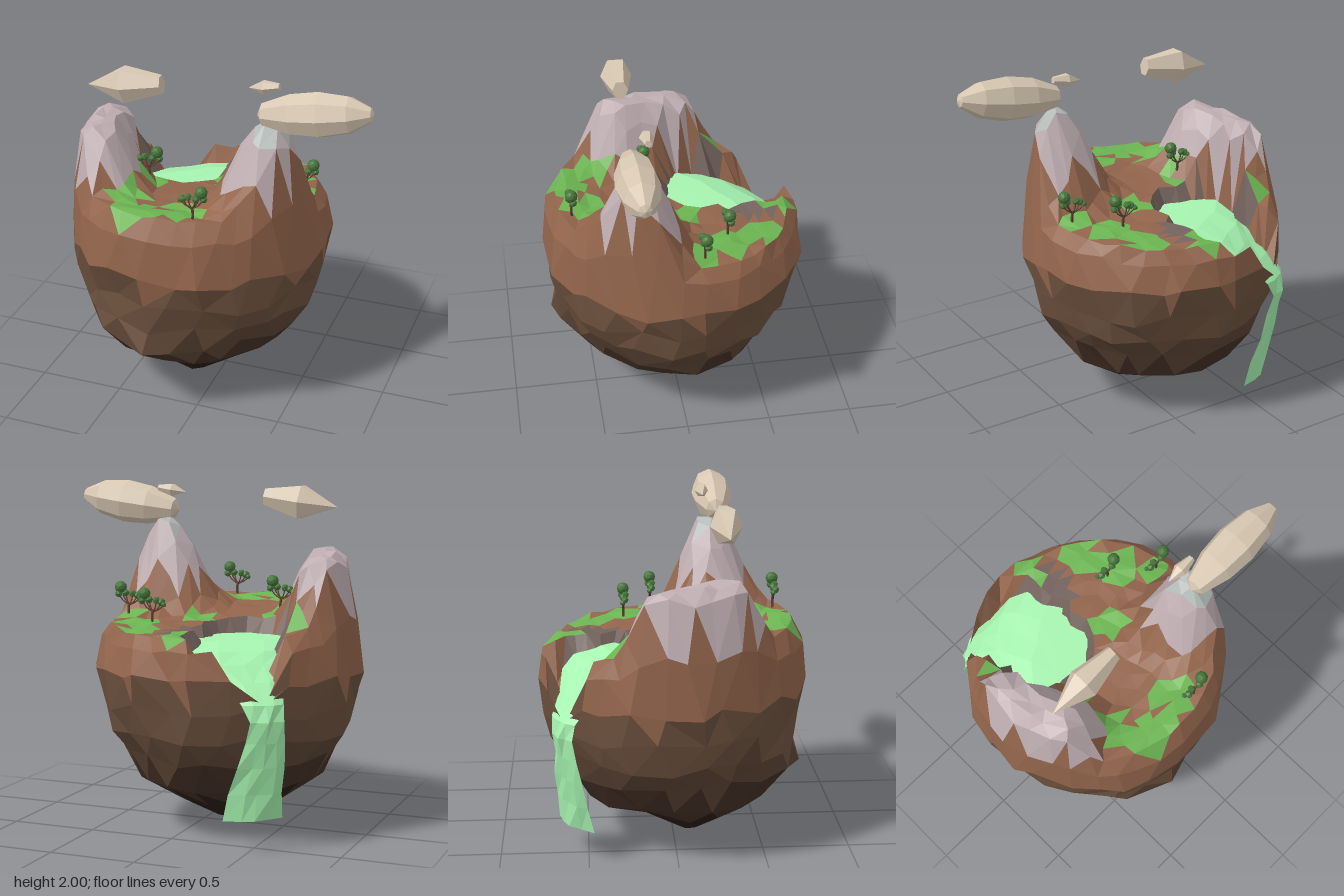
import * as THREE from 'three';

const CX = -0.16; // island axis in x
const hash = (a, b) => {
  const s = Math.sin(a * 127.1 + b * 311.7) * 43758.5453;
  return (s - Math.floor(s)) * 2 - 1;
};
const mat = (color, side = THREE.FrontSide) => new THREE.MeshStandardMaterial({ color, flatShading: true, side });

function mesh(parent, name, geometry, material) {
  const m = new THREE.Mesh(geometry, material);
  m.name = name;
  parent.add(m);
  return m;
}

function triangleMesh(parent, name, positions, material) {
  const g = new THREE.BufferGeometry();
  g.setAttribute('position', new THREE.Float32BufferAttribute(positions, 3));
  g.computeVertexNormals();
  return mesh(parent, name, g, material);
}

// Water level falls away towards the spillway
const waterLevel = (outward) => 1.13 - 1.2 * Math.max(0, outward - 0.3) ** 2;

// Terrain height: tilted plateau, a peak, a crescent ridge and a sunken pond with a spillway
function height(x, z) {
  const base = 1.215 + (z > 0 ? 0.13 : 0.06) * z;
  const dx = (x - 0.35) * (x > 0.35 ? 1.3 : 1);
  const dz = (z - 0.22) * (z < 0.22 ? 1.4 : 1);
  const peak = 0.54 * Math.exp(-Math.pow(Math.hypot(dx, dz) / 0.25, 2.5));
  const t = THREE.MathUtils.clamp((z + 0.08) / 0.33, 0, 1);
  const ridgeD = Math.hypot(x - (-0.75 + 0.09 * t), z - (-0.08 + 0.33 * t));
  const ridge = 0.37 * Math.exp(-Math.pow(ridgeD / 0.2, 3.5));
  const pond = ((x + 0.36) / 0.25) ** 4 + ((z + 0.34) / 0.36) ** 4 < 1;
  const across = -0.81 * (x - CX) + 0.58 * z, outward = -0.58 * (x - CX) - 0.81 * z;
  const spill = Math.abs(across + 0.02) < 0.14 && outward > 0.4;
  return pond || spill ? waterLevel(outward) - 0.06 : base + peak + ridge;
}

// Grass patches on the plateau: x, z, radius
const GRASS = [
  [-0.1, -0.61, 0.11], [0.2, -0.48, 0.11], [0.3, -0.28, 0.12], [0.42, -0.07, 0.1], [0.0, -0.05, 0.1],
  [-0.42, 0.12, 0.1], [-0.45, 0.42, 0.11], [-0.3, 0.6, 0.13], [-0.06, 0.53, 0.12], [-0.64, -0.34, 0.06],
];

const ZONES = {
  snow: 0xbfaeb2, peakCap: 0xb4bcb9, grass: 0x6cb552, pondCliff: 0x74635d, soil: 0x93654c,
  rockUpper: 0x6d513e, rockMiddle: 0x5c4535, rockLower: 0x443026, rockTip: 0x2b1d17,
};

function zoneOf(x, y, z, steep) {
  const n = hash(x * 3, z * 5 + y);
  const r = Math.hypot(x - CX, z);
  if (y > 1.69) return 'peakCap';
  if (y > (x < 0 ? 1.36 : 1.46) + n * 0.03) return 'snow';
  if (y > 1.1 && !steep && GRASS.some(([gx, gz, gr]) => Math.hypot(x - gx, z - gz) < gr)) return 'grass';
  if (r < 0.6 && y > 1 && y < 1.19 && x < 0.03 && z < 0.1) return 'pondCliff';
  if (y > 0.92 + n * 0.09) return 'soil';
  if (y > 0.6 + n * 0.09) return 'rockUpper';
  if (y > 0.42 + n * 0.04) return 'rockMiddle';
  return y > 0.24 ? 'rockLower' : 'rockTip';
}

function buildIsland(parent) {
  const rings = [];
  const addRing = (n, r, yAt, jr, jy, cz = 0, bulge = 0) => {
    const k = rings.length, ring = [];
    for (let i = 0; i < n; i++) {
      const t = ((i + 0.5 + hash(i, k) * 0.3) / n) * Math.PI * 2;
      const rr = r + hash(i + 7, k) * jr + bulge * Math.exp(-(((t - 1.88) / 0.4) ** 2));
      const x = CX + rr * Math.cos(t), z = cz + rr * Math.sin(t);
      ring.push({ t, p: new THREE.Vector3(x, yAt(x, z) + hash(i, k + 31) * jy, z) });
    }
    ring.push({ t: ring[0].t + Math.PI * 2, p: ring[0].p });
    rings.push(ring);
  };
  // Plateau from the middle outwards
  addRing(1, 0, height, 0, 0);
  for (const r of [0.1, 0.19, 0.27, 0.35, 0.42, 0.49, 0.555, 0.62, 0.68]) {
    addRing(Math.round(r * 50) + 4, r, height, 0.012, 0.012);
  }
  const rimHeight = (x, z) => Math.min(1 + 0.6 * (height(x, z) - 1), height(x, z));
  addRing(36, 0.742, rimHeight, 0.012, 0.015);
  // Wall down to the tip: sides, radius, height, centre z, front ledge
  const wall = [
    [28, 0.77, 0.94, 0, 0], [24, 0.745, 0.76, 0, -0.03], [22, 0.7, 0.6, 0, 0.03], [20, 0.625, 0.47, 0, 0.17],
    [17, 0.54, 0.31, 0.0, 0.02], [11, 0.29, 0.15, 0.06, 0], [6, 0.09, 0.015, 0.1, 0],
  ];
  for (const [n, r, y, cz, bulge] of wall) {
    addRing(n, r, (x, z) => Math.min(y, height(x, z)), 0.02, y > 0.1 ? 0.035 : 0.008, cz, bulge);
  }
  addRing(1, 0, () => 0, 0, 0, 0.08);

  const zones = {};
  const n = new THREE.Vector3(), c = new THREE.Vector3();
  const tri = new THREE.Triangle();
  const add = (p, q, s) => {
    tri.set(p, q, s);
    if (tri.getArea() < 1e-7) return;
    tri.getNormal(n);
    tri.getMidpoint(c);
    (zones[zoneOf(c.x, c.y, c.z, n.y < 0.6)] ??= []).push(...p.toArray(), ...q.toArray(), ...s.toArray());
  };
  // Stitch neighbouring rings of different counts by advancing the smaller angle
  for (let k = 0; k < rings.length - 1; k++) {
    const a = rings[k], b = rings[k + 1];
    let i = 0, j = 0;
    while (i < a.length - 1 || j < b.length - 1) {
      if (j === b.length - 1 || (i < a.length - 1 && a[i + 1].t < b[j + 1].t)) {
        add(a[i].p, a[i + 1].p, b[j].p);
        i++;
      } else {
        add(a[i].p, b[j + 1].p, b[j].p);
        j++;
      }
    }
  }
  for (const [name, positions] of Object.entries(zones)) triangleMesh(parent, name, positions, mat(ZONES[name]));
}

// One sheet of water from rows: height, outward distance, left and right edge across
function buildSheet(parent, name, rows) {
  const COLS = 4;
  const at = (k, i) => {
    const [y, o, s0, s1] = rows[k];
    const u = i / COLS;
    const out = o - 0.03 * (2 * u - 1) ** 2 + hash(i, y * 9) * 0.012;
    const s = s0 + (s1 - s0) * u + hash(y * 7, i + 90) * 0.012;
    return [CX - 0.58 * out - 0.81 * s, y, -0.81 * out + 0.58 * s];
  };
  const pos = [];
  for (let k = 0; k < rows.length - 1; k++) {
    for (let i = 0; i < COLS; i++) {
      const a = at(k, i), b = at(k, i + 1), c = at(k + 1, i), d = at(k + 1, i + 1);
      pos.push(...a, ...c, ...b, ...b, ...c, ...d);
    }
  }
  triangleMesh(parent, name, pos, mat(0xa6f4b0, THREE.DoubleSide));
}

function buildWater(parent) {
  const pond = [
    [0.0, -0.12, 0.08], [0.1, -0.2, 0.2], [0.21, -0.25, 0.3], [0.35, -0.31, 0.26], [0.5, -0.34, 0.19],
    [0.6, -0.31, 0.15], [0.7, -0.2, 0.12], [0.8, -0.12, 0.1],
  ];
  buildSheet(parent, 'pond', pond.map(([o, s0, s1]) => [waterLevel(o), o, s0, s1]));
  buildSheet(parent, 'waterfall', [
    [waterLevel(0.8), 0.8, -0.12, 0.1], [0.74, 0.81, -0.1, 0.09], [0.62, 0.79, -0.11, 0.11],
    [0.48, 0.765, -0.14, 0.12], [0.33, 0.735, -0.18, 0.12], [0.18, 0.71, -0.21, 0.13],
  ]);
}

// Small tree: bent trunk, branches and faceted leaf clumps
function buildTree(parent, x, z) {
  const tree = new THREE.Group();
  tree.name = 'tree';
  const bark = mat(0x5b4030), leaf = mat(0x46743a);
  const clumps = [
    [0.055, 0.165, 0, 0.036], [0.03, 0.13, 0.012, 0.024], [0.066, 0.125, -0.008, 0.024],
    [-0.022, 0.128, 0, 0.023], [-0.05, 0.118, 0.008, 0.024], [-0.07, 0.105, -0.006, 0.016],
  ];
  const V = (a, b, c) => new THREE.Vector3(a, b, c);
  const limb = (name, pts, r) =>
    mesh(tree, name, new THREE.TubeGeometry(new THREE.CatmullRomCurve3(pts), 4, r, 5), bark);
  limb('trunk', [V(0, -0.03, 0), V(0.007, 0.03, 0), V(0, 0.075, 0)], 0.008);
  clumps.forEach(([cx, cy, cz, r], i) => {
    limb('branch', [V(0, 0.06, 0), V(cx * 0.6, 0.065 + (cy - 0.065) * 0.35, cz * 0.5), V(cx, cy, cz)], 0.004);
    const ball = mesh(tree, 'leaves', new THREE.IcosahedronGeometry(r, i ? 0 : 1), leaf);
    ball.position.set(cx, cy, cz);
    ball.rotation.set(i, i * 2, 0);
  });
  tree.position.set(x, height(x, z), z);
  parent.add(tree);
}

// Faceted cloud: lathe lying along x
function buildCloud(parent, profile, sides, centre, size, tilt) {
  const g = new THREE.LatheGeometry(profile.map(([r, l]) => new THREE.Vector2(r, l)), sides);
  g.rotateZ(-Math.PI / 2);
  g.scale(...size);
  g.rotateZ(tilt);
  mesh(parent, 'cloud', g, mat(0xd8c8b2)).position.set(...centre);
}

export function createModel() {
  const model = new THREE.Group();
  model.name = 'floatingIsland';
  buildIsland(model);
  buildWater(model);
  for (const [x, z] of [[-0.43, 0.13], [0.21, -0.27], [0.44, -0.1], [0.02, 0.6]]) buildTree(model, x, z);

  const pointed = [[0, -1], [1, 0], [0.5, 1], [0, 1]];
  const rounded = [[0, -1], [0.5, -0.9], [0.9, -0.4], [1, 0.1], [0.8, 0.6], [0.3, 0.96], [0, 1]];
  buildCloud(model, pointed, 6, [-0.5, 1.88, 0.27], [0.225, 0.11, 0.09], 0.13);
  buildCloud(model, rounded, 8, [0.605, 1.867, 0.29], [0.325, 0.129, 0.12], 0.14);
  buildCloud(model, pointed, 6, [0.29, 1.945, 0.2], [0.09, 0.04, 0.04], 0.15);
  return model;
}
